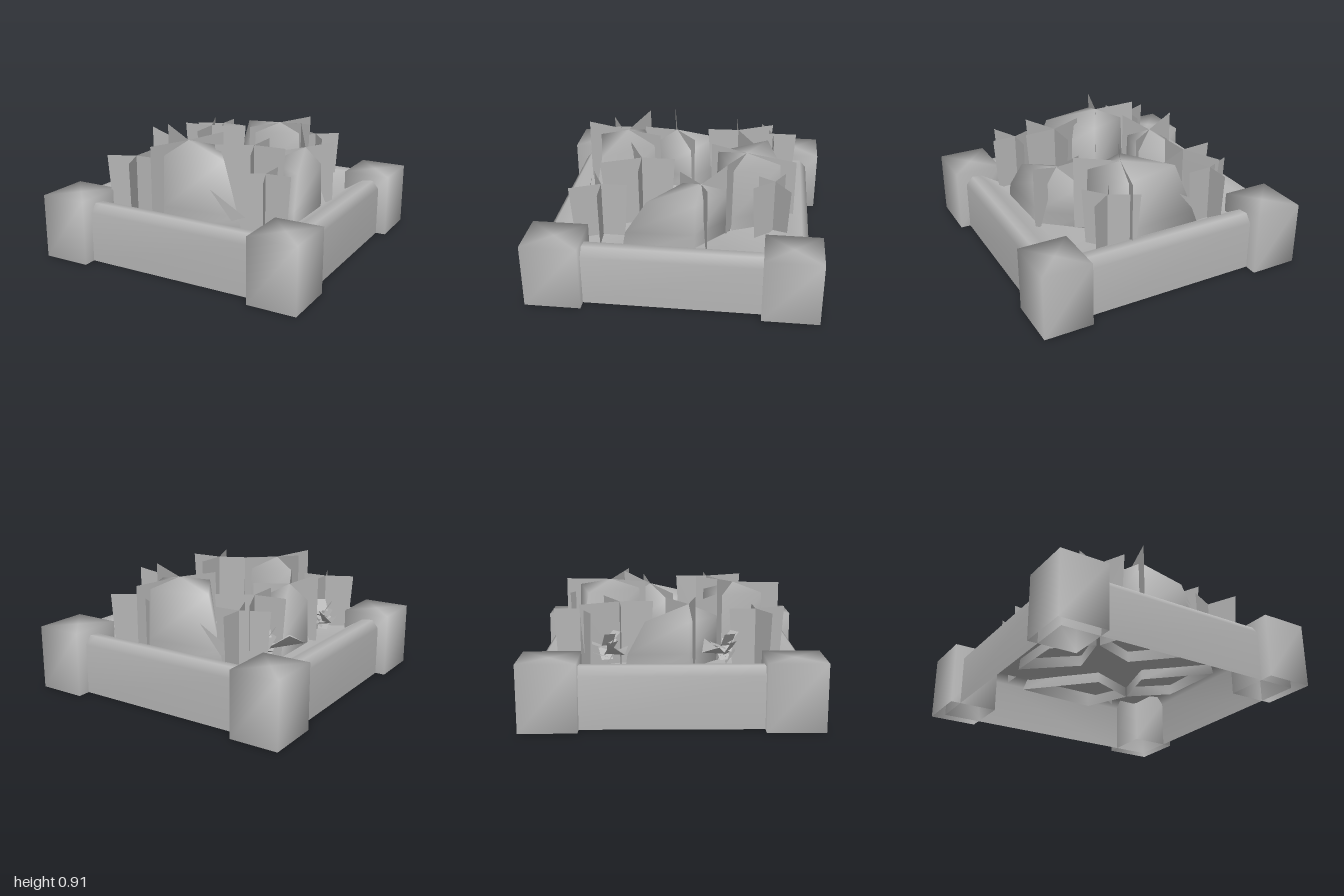
import * as THREE from 'three';

const stone = new THREE.MeshStandardMaterial({ color: 0xb4b4b4, side: THREE.DoubleSide });
stone.name = 'pale grey';

// Skin over closed rings of [x, y, z] points (counter-clockwise from above), fanned to an apex
function loft(rings, apex) {
  const n = rings[0].length, pos = rings.flat(2), idx = [];
  for (let r = 0; r < rings.length - 1; r++) {
    for (let i = 0; i < n; i++) {
      const a = r * n + i, b = r * n + (i + 1) % n;
      idx.push(a, b, b + n, a, b + n, a + n);
    }
  }
  const last = (rings.length - 1) * n;
  pos.push(...apex);
  for (let i = 0; i < n; i++) idx.push(last + i, last + (i + 1) % n, rings.length * n);
  return surface(pos, idx);
}

function surface(pos, idx) {
  const g = new THREE.BufferGeometry();
  g.setAttribute('position', new THREE.Float32BufferAttribute(pos, 3));
  g.setIndex(idx);
  g.computeVertexNormals();
  return g;
}

// Thin four-cornered blade
const quad = (a, b, c, d) => surface([...a, ...b, ...c, ...d], [0, 1, 2, 0, 2, 3]);

function add(parent, name, geometry) {
  const m = new THREE.Mesh(geometry, stone);
  m.name = name;
  parent.add(m);
  return m;
}

function group(parent, name) {
  const g = new THREE.Group();
  g.name = name;
  parent.add(g);
  return g;
}

// Rectangle ring with extra points near the corners
function frameRing(w, d, y) {
  const x = w - 0.28, z = d - 0.28;
  return [[w, z], [w, -z], [w, -d], [x, -d], [-x, -d], [-w, -d],
    [-w, -z], [-w, z], [-w, d], [-x, d], [x, d], [w, d]].map(([px, pz]) => [px, y, pz]);
}

// Folded shrub: upright on three tips, sloping down to the long last tip, with flaring leaves
function shrub(parent, { tips, centre, levels, peak, leaves }) {
  const g = group(parent, 'shrub');
  const [cx, cz] = centre;
  const rings = levels.map(([y, short, long]) => tips.map(([x, z], i) => {
    const s = i === 3 ? long : short;
    return [cx + (x - cx) * s, y, cz + (z - cz) * s];
  }));
  add(g, 'shrubBody', loft(rings, [cx, peak, cz]));
  for (const [x, z, top] of leaves) {
    const ix = cx + (x - cx) * 0.75, iz = cz + (z - cz) * 0.75;
    add(g, 'shrubLeaf', quad([ix, 0.33, iz], [x, 0.33, z], [x, top, z], [cx, peak, cz]));
  }
}

export function createModel() {
  const model = new THREE.Group();
  model.name = 'planter';

  // Rounded border, dipping inside to the soil
  add(model, 'borderAndSoil', loft([
    frameRing(0.918, 0.908, 0), frameRing(0.918, 0.908, 0.36), frameRing(0.87, 0.86, 0.418),
    frameRing(0.79, 0.78, 0.41), frameRing(0.65, 0.64, 0.32),
  ], [0, 0.32, 0]));

  // Corner blocks, open underneath and softly shaded
  for (const sx of [-1, 1]) {
    for (const sz of [-1, 1]) {
      const w = 0.1735, d = 0.195;
      const ring = y => [[w, y, d], [w, y, -d], [-w, y, -d], [-w, y, d]];
      add(model, 'cornerBlock', loft([ring(0), ring(0.46)], [0, 0.46, 0]))
        .position.set(sx * 0.8165, 0, sz * 0.805);
    }
  }

  // Four shrubs around the middle; levels are height, short tip scale, long tip scale
  const tall = [[0.24, 1, 1], [0.42, 0.98, 0.89], [0.78, 0.93, 0.65]];
  const low = [[0.24, 1, 1.04], [0.42, 0.98, 0.98], [0.64, 0.93, 0.7]];
  const shrubs = group(model, 'shrubs');
  shrub(shrubs, {
    tips: [[0.01, 0.22], [-0.31, 0.35], [-0.18, 0.69], [0.44, 0.65]],
    centre: [-0.12, 0.45], levels: tall, peak: 0.85,
    leaves: [[-0.22, 0.77, 0.86], [0.01, 0.19, 0.87], [-0.38, 0.32, 0.91]],
  });
  shrub(shrubs, {
    tips: [[0.03, -0.22], [0.38, -0.37], [0.23, -0.71], [-0.39, -0.67]],
    centre: [0.15, -0.45], levels: tall, peak: 0.83,
    leaves: [[0.25, -0.8, 0.82], [0.02, -0.19, 0.83], [0.45, -0.33, 0.87]],
  });
  shrub(shrubs, {
    tips: [[0.65, -0.13], [0.38, -0.36], [0.28, 0], [0.66, 0.36]],
    centre: [0.5, -0.16], levels: low, peak: 0.74,
    leaves: [[0.7, -0.22, 0.79], [0.24, 0.02, 0.7], [0.37, -0.36, 0.86]],
  });
  shrub(shrubs, {
    tips: [[-0.58, 0.12], [-0.33, 0.34], [-0.24, -0.02], [-0.59, -0.31]],
    centre: [-0.42, 0.12], levels: low, peak: 0.74,
    leaves: [[-0.63, 0.16, 0.83], [-0.21, -0.04, 0.75], [-0.31, 0.35, 0.8]],
  });

  // Low pointed shoots beside the two larger shrubs
  for (const s of [1, -1]) {
    add(shrubs, 'shoot', surface(
      [s * 0.19, 0.6, s * 0.68, s * 0.35, 0.4, s * 0.67, s * 0.45, 0.44, s * 0.66], [0, 1, 2]));
  }

  // Four-armed grass tufts: x, z, scale, turn, top height
  const arms = [[0, -0.18], [0.18, -0.01], [0.09, 0.21], [-0.19, 0.09]];
  const tufts = [
    [0.53, 0.53, 1, 0, 0.72], [-0.48, 0.58, 1, 0, 0.72], [-0.47, -0.63, 1, 0, 0.72],
    [0.31, 0.28, 1.3, 0, 0.83], [-0.42, -0.36, 1.3, 3.1, 0.76], [0.36, -0.66, 1.05, 0.95, 0.72],
  ];
  for (const [x, z, s, turn, top] of tufts) {
    const tuft = group(model, 'grassTuft');
    for (const [ax, az] of arms) {
      const dx = s * (ax * Math.cos(turn) - az * Math.sin(turn));
      const dz = s * (ax * Math.sin(turn) + az * Math.cos(turn));
      add(tuft, 'grassBlade', quad([x, 0.32, z], [x + dx * 0.87, 0.32, z + dz * 0.87],
        [x + dx, top, z + dz], [x, top, z]));
    }
  }

  // Small flowers: bent petals in a loose spiral plus one broad drooping leaf
  for (const [x, z, lx, lz] of [[-0.56, -0.44, -0.79, -0.31], [-0.57, 0.37, -0.73, 0.2]]) {
    const flower = group(model, 'flower');
    for (let i = 0; i < 8; i++) {
      const petal = new THREE.PlaneGeometry(0.08, 0.11);
      petal.translate(0, 0.055, 0).rotateX(0.6 + 0.3 * (i % 3)).rotateY(i * 1.9);
      add(flower, 'petal', petal).position.set(x, 0.36 + 0.02 * i, z);
    }
    // Kite-shaped leaf, raised at its shoulders
    const dx = lx - x, dz = lz - z, k = 0.3;
    add(flower, 'flowerLeaf', quad([x, 0.42, z], [x + dx * 0.6 - dz * k, 0.54, z + dz * 0.6 + dx * k],
      [lx, 0.47, lz], [x + dx * 0.6 + dz * k, 0.5, z + dz * 0.6 - dx * k]));
  }
  return model;
}
